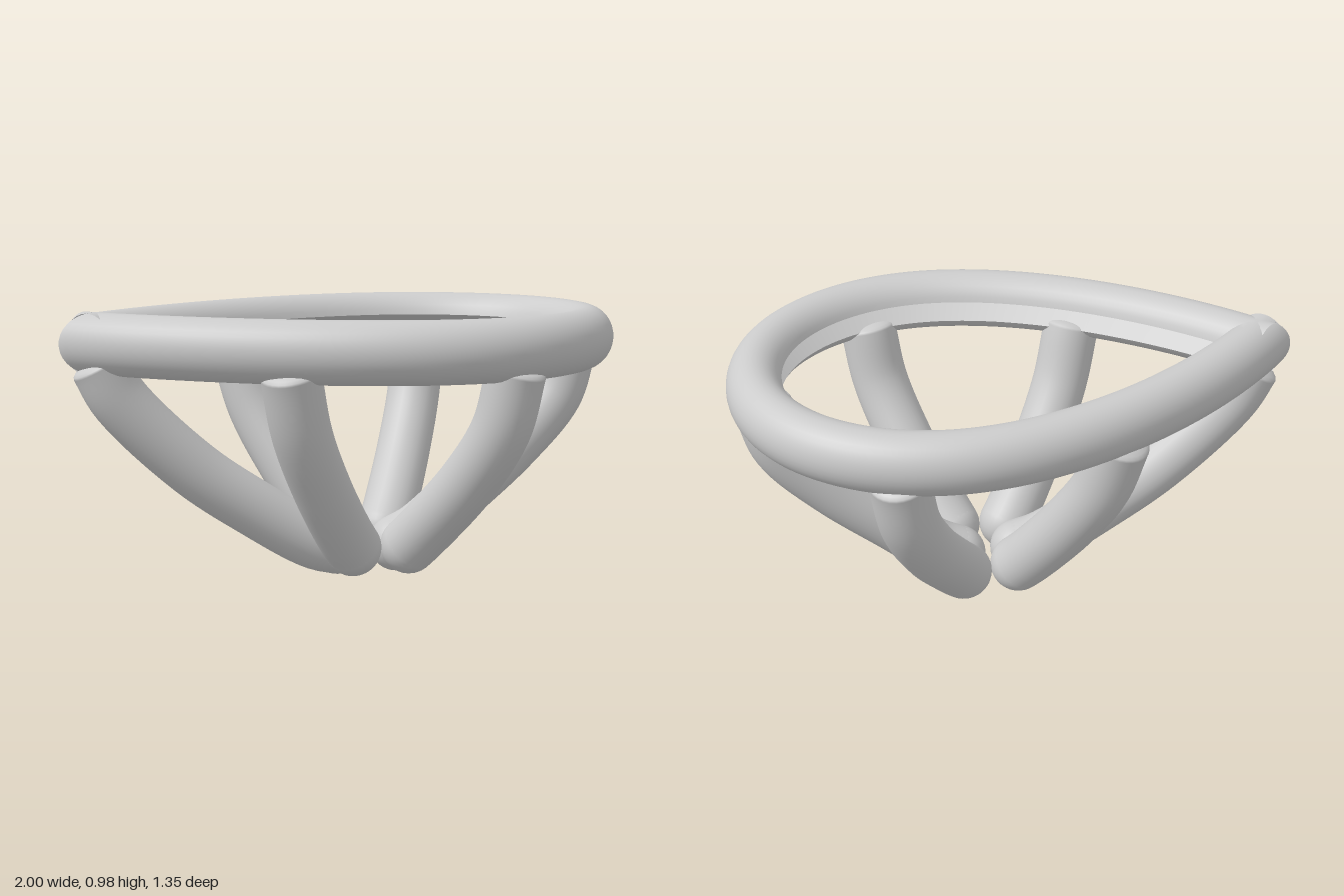
import * as THREE from 'three';
import { toCreasedNormals } from 'three/addons/utils/BufferGeometryUtils.js';

const material = new THREE.MeshStandardMaterial({ color: 0xcccccc });
const v2 = (x, y) => new THREE.Vector2(x, y);

// Pear-shaped rim: a round section with a seat groove inside, swept with a mitred point.
function rimGeometry() {
  const steps = 40;
  const curves = [
    new THREE.CubicBezierCurve(v2(-1, 0), v2(-0.72, 0.32), v2(-0.2, 0.673), v2(0.26, 0.673)),
    new THREE.CubicBezierCurve(v2(0.26, 0.673), v2(0.68, 0.673), v2(1, 0.37), v2(1, 0)),
  ];

  // Cross-section as [distance inward, height]
  const section = [];
  const arcSteps = 28;
  for (let k = 0; k <= arcSteps; k++) {
    const a = THREE.MathUtils.degToRad(-150 + (315 * k) / arcSteps);
    section.push([0.0975 * (1 - Math.cos(a)), 0.877 + 0.108 * Math.sin(a)]);
  }
  section.push([0.12, 0.875]);

  // Outline stations on the front half, then mirrored to the back
  const stations = [];
  curves.forEach((curve, c) => {
    for (let i = c; i <= steps; i++) {
      const p = curve.getPoint(i / steps);
      const t = curve.getTangent(i / steps);
      const tip = c === 0 && i === 0;
      stations.push({ x: p.x, z: p.y, nx: tip ? 1 / t.y : t.y, nz: tip ? 0 : -t.x });
    }
  });
  for (let i = stations.length - 2; i >= 0; i--) {
    const s = stations[i];
    stations.push({ x: s.x, z: -s.z, nx: s.nx, nz: -s.nz });
  }

  const positions = [], indices = [];
  const m = section.length;
  stations.forEach((s, i) => {
    section.forEach(([d, y], j) => {
      positions.push(s.x + s.nx * d, y, s.z + s.nz * d);
      if (i === stations.length - 1) return;
      const k = (j + 1) % m;
      const a = i * m + j, b = a + m, c = (i + 1) * m + k, e = i * m + k;
      indices.push(a, b, c, a, c, e);
    });
  });
  const geometry = new THREE.BufferGeometry();
  geometry.setAttribute('position', new THREE.Float32BufferAttribute(positions, 3));
  geometry.setIndex(indices);
  return toCreasedNormals(geometry, 0.6);
}

// Curved round prong with a domed foot and a low cap under the rim
function prong(name, points) {
  const group = new THREE.Group();
  group.name = name;
  const path = new THREE.CatmullRomCurve3(points.map((p) => new THREE.Vector3(...p)));
  const add = (part, geometry) => {
    const mesh = new THREE.Mesh(geometry, material);
    mesh.name = part;
    group.add(mesh);
    return mesh;
  };
  const radius = 0.103;
  add('shaft', new THREE.TubeGeometry(path, 40, radius, 28));
  add('foot', new THREE.SphereGeometry(radius, 28, 18)).position.copy(path.getPoint(1));
  const cap = add('cap', new THREE.SphereGeometry(radius, 28, 12));
  cap.position.copy(path.getPoint(0));
  cap.scale.y = 0.3;
  cap.quaternion.setFromUnitVectors(new THREE.Vector3(0, 1, 0), path.getTangent(0).negate());
  return group;
}

export function createModel() {
  const model = new THREE.Group();
  model.name = 'pearSetting';

  const rim = new THREE.Mesh(rimGeometry(), material);
  rim.name = 'rim';
  model.add(rim);

  // Prongs on the long axis
  model.add(prong('pointProng', [
    [-0.86, 0.8, 0], [-0.795, 0.68, 0], [-0.54, 0.425, 0], [-0.32, 0.268, 0], [-0.1, 0.135, 0], [-0.01, 0.11, 0],
  ]));
  model.add(prong('roundEndProng', [
    [0.88, 0.8, 0], [0.83, 0.64, 0], [0.665, 0.455, 0], [0.46, 0.28, 0], [0.3, 0.15, 0], [0.215, 0.108, 0],
  ]));

  // Diagonal prongs, front and back
  for (const [side, s] of [['front', 1], ['back', -1]]) {
    model.add(prong(side + 'LeftProng', [
      [0.467, 0.8, 0.53], [0.435, 0.6, 0.485], [0.36, 0.4, 0.37], [0.25, 0.19, 0.2], [0.215, 0.133, 0.15],
    ].map(([x, y, z]) => [x, y, z * s])));
    model.add(prong(side + 'RightProng', [
      [-0.285, 0.8, 0.42], [-0.235, 0.59, 0.37], [-0.14, 0.38, 0.275], [-0.03, 0.19, 0.17], [0.01, 0.133, 0.135],
    ].map(([x, y, z]) => [x, y, z * s])));
  }
  return model;
}
